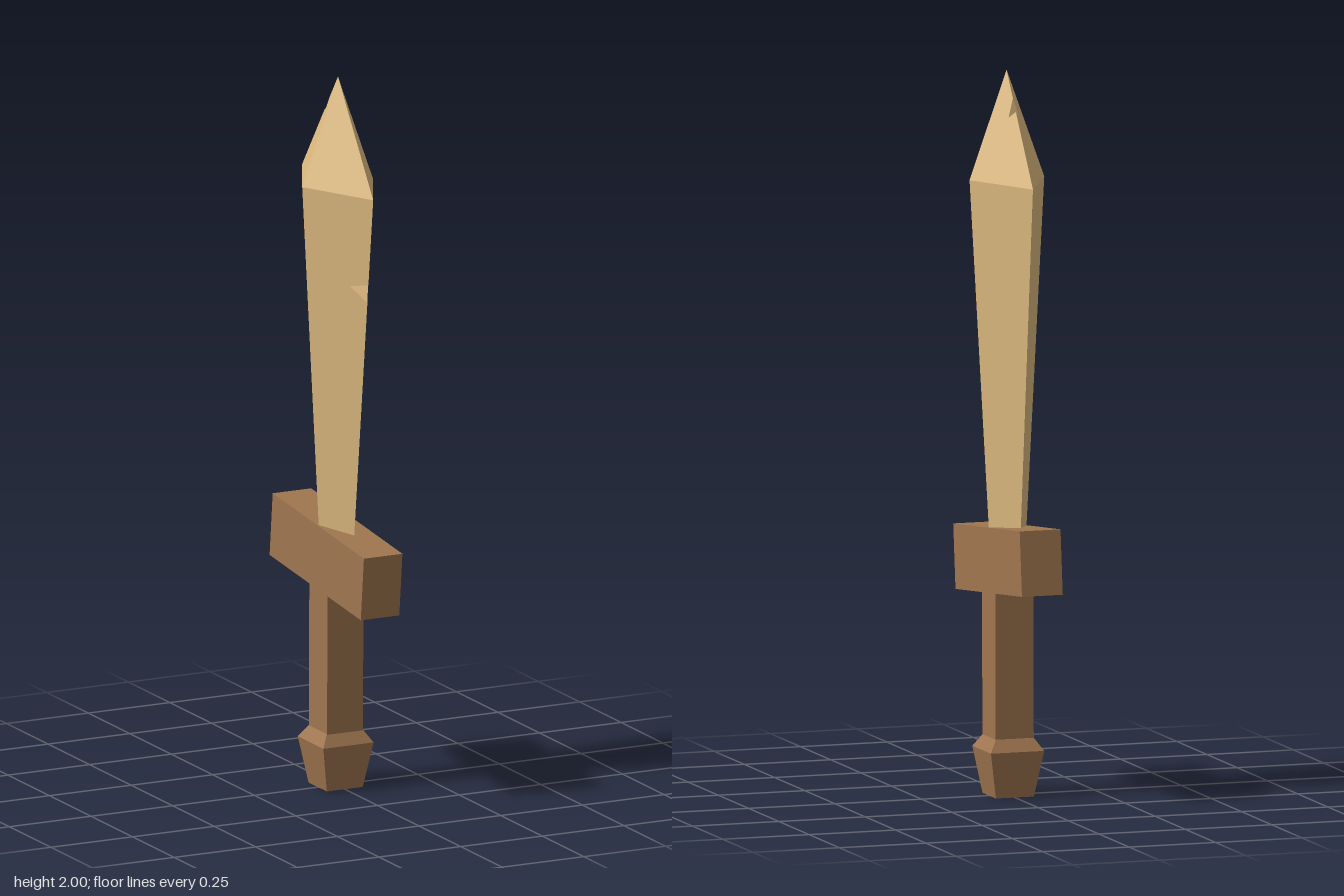
import * as THREE from 'three';

const lerp = THREE.MathUtils.lerp;
const BASE = 0.66, SHOULDER = 1.7, TIP = 2;

// Diamond section of the blade at height y: ridge centre, half depth (z), half thickness (x)
function section(y) {
  if (y > SHOULDER) {
    const t = (TIP - y) / (TIP - SHOULDER);
    return { c: lerp(0.012, 0.009, t), w: 0.215 * t, h: 0.108 * t };
  }
  const t = (y - 0.73) / (SHOULDER - 0.73);
  return { c: lerp(0.003, 0.009, t), w: lerp(0.107, 0.215, t), h: lerp(0.054, 0.108, t) };
}

// Lift a profile point (z, y) onto the blade surface on side s (+1 or -1)
function lift([z, y], s) {
  const { c, w, h } = section(y);
  const x = w < 1e-6 ? 0 : h * Math.max(0, 1 - Math.abs(z - c) / w);
  return new THREE.Vector3(s * x, y, z);
}

const ridge = (y) => [section(y).c, y];
const edge = (y, s) => [section(y).c + s * section(y).w, y];

function bladeGeometry() {
  const pos = [];
  // Add a triangle wound so that it faces the direction out
  const tri = (a, b, c, out) => {
    const n = b.clone().sub(a).cross(c.clone().sub(a));
    const order = n.dot(out) >= 0 ? [a, b, c] : [a, c, b];
    order.forEach((p) => pos.push(p.x, p.y, p.z));
  };

  // Chips in the cutting edges: upper lip, deepest point, lower lip
  const frontChip = [edge(1.453, 1), [0.138, 1.442], edge(1.402, 1)];
  const backChip = [edge(1.928, -1), [-0.048, 1.876], edge(1.894, -1)];

  // Four facets per side
  const facets = [
    [ridge(BASE), ridge(SHOULDER), edge(SHOULDER, 1), ...frontChip, edge(BASE, 1)],
    [ridge(BASE), ridge(SHOULDER), edge(SHOULDER, -1), edge(BASE, -1)],
    [ridge(SHOULDER), ridge(TIP), edge(SHOULDER, 1)],
    [ridge(SHOULDER), ridge(TIP), ...backChip, edge(SHOULDER, -1)],
  ];
  for (const s of [1, -1]) {
    for (const facet of facets) {
      const contour = facet.map(([z, y]) => new THREE.Vector2(z, y));
      for (const f of THREE.ShapeUtils.triangulateShape(contour, [])) {
        tri(...f.map((i) => lift(facet[i], s)), new THREE.Vector3(s, 0, 0));
      }
    }
  }

  // Inner faces of the chips
  for (const [top, deep, low] of [frontChip, backChip]) {
    const a = lift(deep, 1), b = lift(deep, -1), t = lift(top, 1), l = lift(low, 1);
    tri(a, b, t, l.clone().sub(a).setX(0));
    tri(a, b, l, t.clone().sub(a).setX(0));
  }

  const geo = new THREE.BufferGeometry();
  geo.setAttribute('position', new THREE.Float32BufferAttribute(pos, 3));
  geo.computeVertexNormals();
  return geo;
}

// Square block tapering from half width a (bottom) to b (top)
function taper(a, b, y0, y1) {
  const geo = new THREE.BoxGeometry(1, y1 - y0, 1);
  const p = geo.attributes.position;
  for (let i = 0; i < p.count; i++) {
    const k = 2 * (p.getY(i) > 0 ? b : a);
    p.setXYZ(i, p.getX(i) * k, p.getY(i) + (y0 + y1) / 2, p.getZ(i) * k);
  }
  const flat = geo.toNonIndexed();
  flat.computeVertexNormals();
  return flat;
}

export function createModel() {
  const paleWood = new THREE.MeshStandardMaterial({ color: 0xdfbb80 });
  paleWood.name = 'paleWood';
  const darkWood = new THREE.MeshStandardMaterial({ color: 0xa0764f });
  darkWood.name = 'darkWood';

  const model = new THREE.Group();
  model.name = 'woodenSword';
  const add = (name, geo, mat) => {
    const mesh = new THREE.Mesh(geo, mat);
    mesh.name = name;
    model.add(mesh);
    return mesh;
  };

  add('blade', bladeGeometry(), paleWood);

  // Crooked crossguard
  const guard = add('crossguard', new THREE.BoxGeometry(0.118, 0.179, 0.552), darkWood);
  guard.position.set(0, 0.65, 0);
  guard.rotation.x = 0.104;

  // Grip, leaning slightly forward
  const grip = add('grip', taper(0.055, 0.055, 0.14, 0.62), darkWood);
  grip.rotation.x = 0.008;
  grip.position.z = -0.002;

  // Pommel: flared block with a bevelled collar
  add('pommel', taper(0.055, 0.077, 0, 0.128), darkWood).position.z = -0.002;
  add('pommelCollar', taper(0.077, 0.055, 0.128, 0.162), darkWood).position.z = -0.002;

  return model;
}
